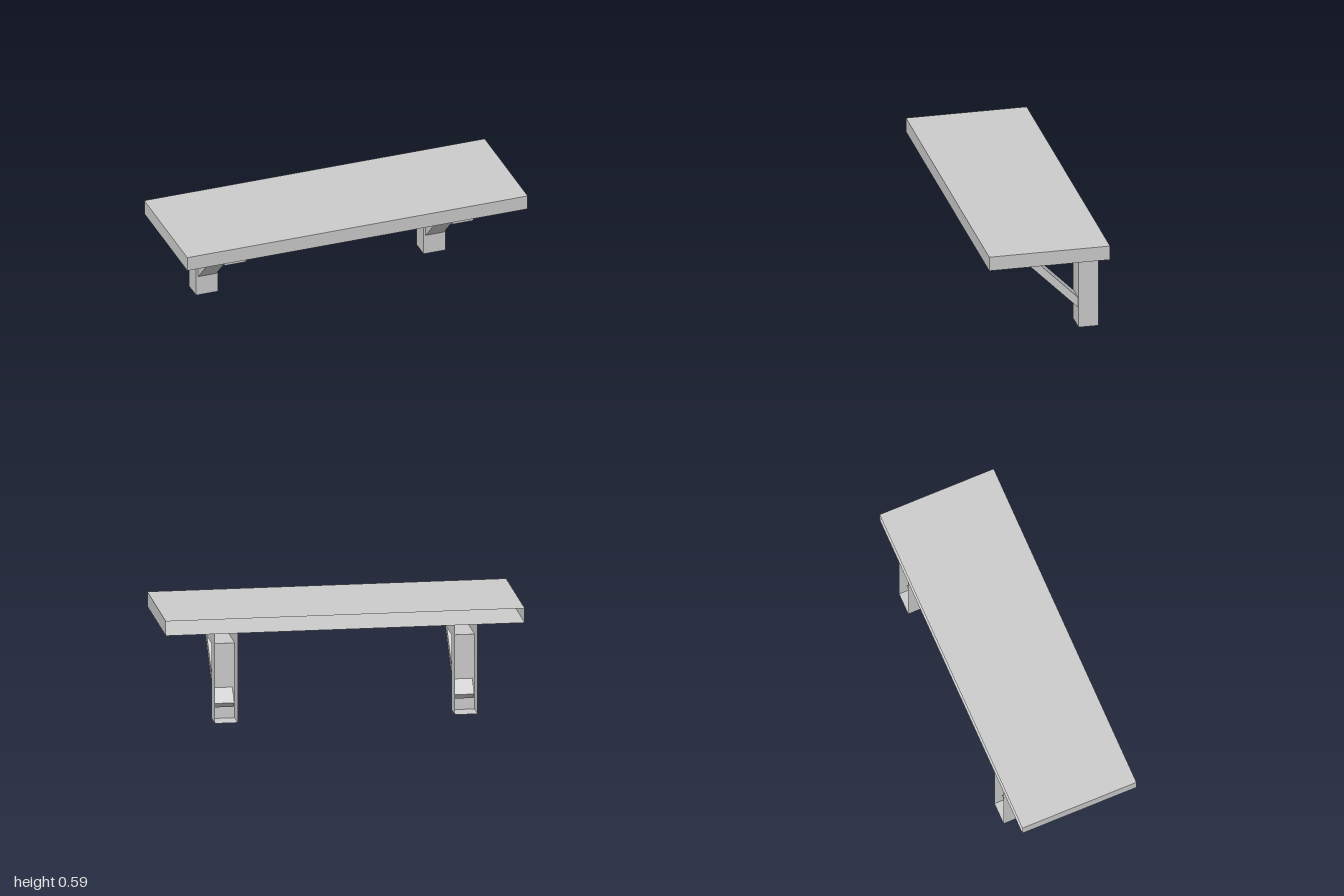
import * as THREE from 'three';

const material = new THREE.MeshStandardMaterial({
  color: 0xcccccc, flatShading: true, side: THREE.DoubleSide,
});

function addMesh(parent, name, geometry) {
  const mesh = new THREE.Mesh(geometry, material);
  mesh.name = name;
  parent.add(mesh);
  return mesh;
}

// Box without its back (-z) face, which is the last six indices
function openBackBox(w, h, d) {
  const box = new THREE.BoxGeometry(w, h, d);
  box.setIndex(Array.from(box.index.array).slice(0, 30));
  box.clearGroups();
  return box;
}

// Flat side panel from a [z, y] outline, facing +x (side 1) or -x (side -1)
function sidePanel(outline, x, side) {
  const shape = new THREE.Shape(outline.map(([z, y]) => new THREE.Vector2(-side * z, y)));
  return new THREE.ShapeGeometry(shape).rotateY(side * Math.PI / 2).translate(x, 0, 0);
}

// Folded strip across the bracket width, following a [z, y] path
function foldedStrip(path, halfWidth) {
  const positions = [];
  for (let i = 0; i < path.length - 1; i++) {
    const [z0, y0] = path[i];
    const [z1, y1] = path[i + 1];
    const a = [-halfWidth, y0, z0], b = [halfWidth, y0, z0];
    const c = [halfWidth, y1, z1], d = [-halfWidth, y1, z1];
    positions.push(...a, ...b, ...c, ...a, ...c, ...d);
  }
  const geometry = new THREE.BufferGeometry();
  geometry.setAttribute('position', new THREE.Float32BufferAttribute(positions, 3));
  geometry.computeVertexNormals();
  return geometry;
}

const BACK = -0.342, LEG_FRONT = -0.228, ARM_FRONT = 0.222;
const ARM_BOTTOM = 0.425, SHELF_BOTTOM = 0.508, SHELF_TOP = 0.59;
const HALF_WIDTH = 0.064;

function createBracket(name) {
  const bracket = new THREE.Group();
  bracket.name = name;

  // Hollow leg and arm, open at the back and against the shelf
  const path = [
    [BACK, 0], [LEG_FRONT, 0], [LEG_FRONT, ARM_BOTTOM],
    [ARM_FRONT, ARM_BOTTOM], [ARM_FRONT, SHELF_BOTTOM],
  ];
  const outline = [...path, [BACK, SHELF_BOTTOM]];
  addMesh(bracket, 'legAndArmFront', foldedStrip(path, HALF_WIDTH));
  addMesh(bracket, 'leftSidePanel', sidePanel(outline, HALF_WIDTH, 1));
  addMesh(bracket, 'rightSidePanel', sidePanel(outline, -HALF_WIDTH, -1));

  // Diagonal strut, its ends reaching inside the leg and the arm
  const strut = addMesh(bracket, 'strut', new THREE.BoxGeometry(0.107, 0.042, 0.557));
  strut.rotation.x = -Math.PI / 4;
  strut.position.set(-0.003 + 0.005, 0.285, -0.088);
  return bracket;
}

export function createModel() {
  const model = new THREE.Group();
  model.name = 'wallShelf';

  const shelf = addMesh(model, 'shelf', openBackBox(2, SHELF_TOP - SHELF_BOTTOM, 0.684));
  shelf.position.y = (SHELF_TOP + SHELF_BOTTOM) / 2;

  for (const [name, x] of [['leftBracket', 0.663], ['rightBracket', -0.674]]) {
    const bracket = createBracket(name);
    bracket.position.x = x;
    model.add(bracket);
  }
  return model;
}
